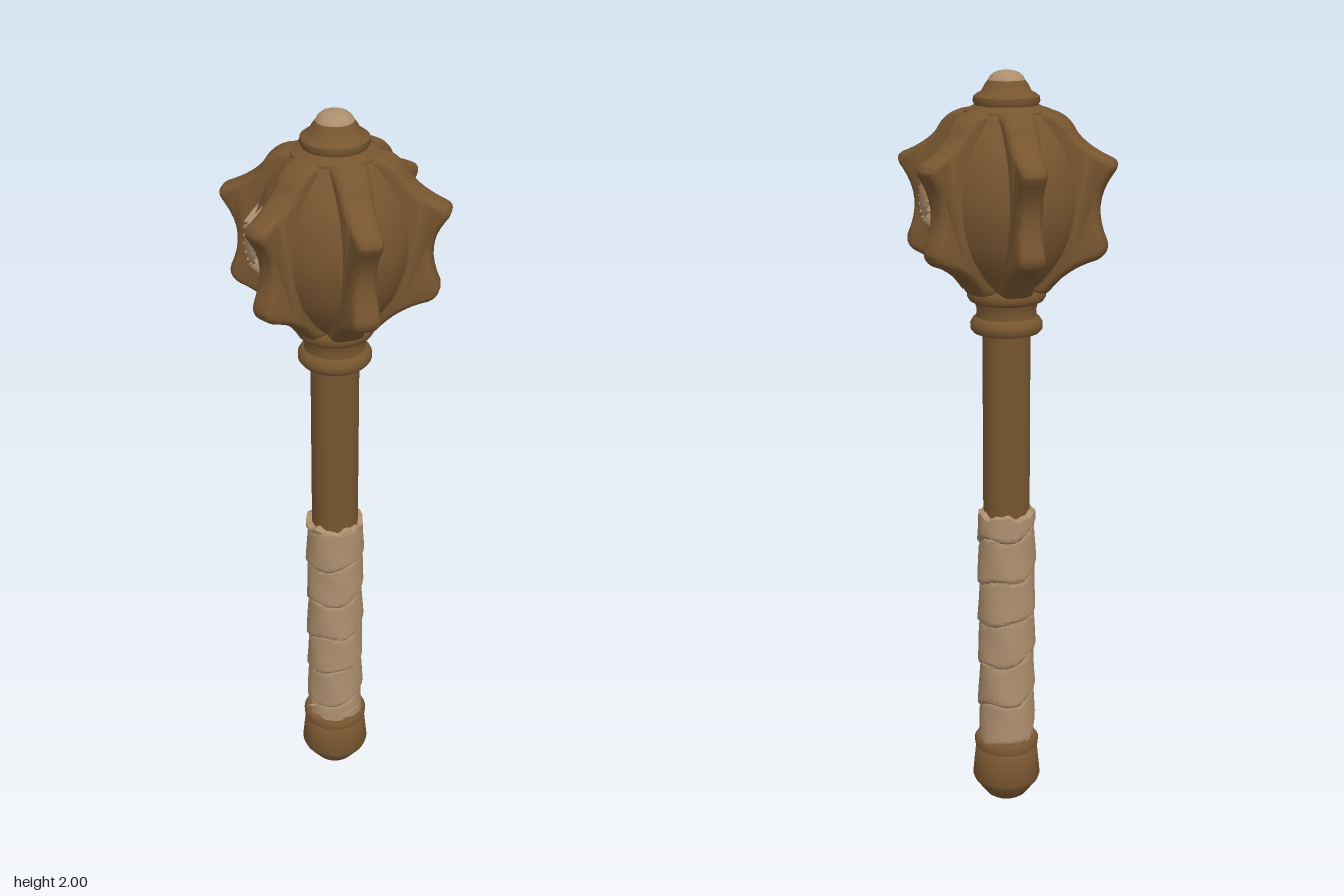
import * as THREE from 'three';
import { toCreasedNormals } from 'three/addons/utils/BufferGeometryUtils.js';

const brown = new THREE.MeshStandardMaterial({ name: 'brown wood', color: 0x775530 });
const tan = new THREE.MeshStandardMaterial({ name: 'tan leather', color: 0xac8e6d });

const vec = (list) => list.map(([r, y]) => new THREE.Vector2(r, y));

function add(parent, name, geometry, material) {
  const mesh = new THREE.Mesh(geometry, material);
  mesh.name = name;
  parent.add(mesh);
  return mesh;
}

// Turned part from [radius, height] pairs, bottom to top
function turned(list, smooth = false, segments = 48) {
  const points = smooth ? new THREE.SplineCurve(vec(list)).getPoints(28) : vec(list);
  return toCreasedNormals(new THREE.LatheGeometry(points, segments), 0.7);
}

// Head flange: two-pointed blade, thicker toward the core and pinched at the waist
function flangeGeometry() {
  const shape = new THREE.Shape();
  shape.moveTo(0.05, 1.455);
  shape.lineTo(0.11, 1.455);
  shape.quadraticCurveTo(0.16, 1.52, 0.235, 1.545);
  shape.quadraticCurveTo(0.265, 1.56, 0.257, 1.59);
  shape.quadraticCurveTo(0.215, 1.68, 0.268, 1.755);
  shape.quadraticCurveTo(0.292, 1.785, 0.265, 1.797);
  shape.quadraticCurveTo(0.205, 1.82, 0.175, 1.855);
  shape.quadraticCurveTo(0.155, 1.895, 0.115, 1.905);
  shape.lineTo(0.05, 1.915);
  const g = new THREE.ExtrudeGeometry(shape, {
    depth: 0.024, curveSegments: 8, bevelEnabled: true,
    bevelThickness: 0.02, bevelSize: 0.016, bevelOffset: -0.016, bevelSegments: 4,
  });
  g.translate(0, 0, -0.012);
  const p = g.attributes.position;
  for (let i = 0; i < p.count; i++) {
    const r = p.getX(i);
    const waist = Math.exp(-(((p.getY(i) - 1.68) / 0.06) ** 2));
    p.setZ(i, p.getZ(i) * (1 + (0.28 - r) * 2.2) * (r > 0.15 ? 1 - 0.25 * waist : 1));
  }
  return toCreasedNormals(g, 0.8);
}

// Grip: overlapping helical wraps with ragged ends
function gripGeometry() {
  const around = 64, rows = 150, y0 = 0.18, y1 = 0.855;
  const g = new THREE.CylinderGeometry(1, 1, 1, around, rows, true);
  const p = g.attributes.position, uv = g.attributes.uv;
  for (let i = 0; i < p.count; i++) {
    const t = uv.getY(i), a = uv.getX(i) * Math.PI * 2;
    const end = Math.min(t, 1 - t);
    const ragged = end < 0.02 ? 0.005 * Math.sin(5 * a) + 0.003 * Math.sin(11 * a) : 0;
    const y = y0 + (y1 - y0) * t + ragged;
    const sway = 0.07 * Math.sin(2 * a + 1) + 0.05 * Math.sin(3 * a + y * 14);
    const phase = y / 0.122 - a / (Math.PI * 2) + sway;
    const f = phase - Math.floor(phase);
    // Each band bulges, then dips sharply under the next one
    const groove = f < 0.1 ? f / 0.1 : 1;
    let r = 0.069 + groove * (0.011 - 0.006 * f) + 0.001 * Math.sin(4 * a + 30 * y);
    if (end < 0.001) r = 0.06;
    p.setXYZ(i, Math.sin(a) * r, y, Math.cos(a) * r);
  }
  g.computeVertexNormals();
  return toCreasedNormals(g, 0.9);
}

// Sunburst boss, built facing +z about its centre
function sunburst(name) {
  const group = new THREE.Group();
  group.name = name;
  const back = add(group, 'bossBacking',
    turned([[0.09, 0.165], [0.086, 0.178], [0.055, 0.196], [0, 0.2]], false, 32), brown);
  back.rotation.x = Math.PI / 2;
  const disc = add(group, 'bossDisc',
    turned([[0.05, 0.19], [0.051, 0.206], [0.044, 0.212], [0.025, 0.217], [0, 0.218]], false, 32), tan);
  disc.rotation.x = Math.PI / 2;
  const rayGeometry = toCreasedNormals(new THREE.ConeGeometry(0.013, 0.052, 4), 0.3);
  for (let i = 0; i < 16; i++) {
    const spoke = new THREE.Group();
    spoke.name = 'raySpoke';
    spoke.rotation.z = (i / 16) * Math.PI * 2;
    const ray = add(spoke, 'ray', rayGeometry, tan);
    ray.position.set(0, 0.07, 0.19);
    ray.rotation.x = -0.55;
    group.add(spoke);
  }
  return group;
}

export function createModel() {
  const model = new THREE.Group();
  model.name = 'mace';

  // Handle
  add(model, 'pommel', turned([
    [0, 0], [0.05, 0], [0.058, 0.006], [0.09, 0.05], [0.094, 0.062], [0.086, 0.145], [0.081, 0.15],
    [0.081, 0.154], [0.088, 0.158], [0.089, 0.172], [0.084, 0.18], [0.06, 0.184]]), brown);
  add(model, 'shaft', new THREE.CylinderGeometry(0.062, 0.062, 1.2, 32).translate(0, 0.77, 0), brown);
  const grip = add(model, 'gripWrap', gripGeometry(), tan);
  grip.castShadow = true;

  // Loose ends of the wrap
  [[-0.074, 0.222, 0.03, 1.35], [0.03, 0.215, 0.075, -0.9], [0.055, 0.79, -0.055, -1.2]].forEach(([x, y, z, tilt]) => {
    const end = add(model, 'looseWrapEnd', new THREE.ConeGeometry(0.01, 0.045, 4), tan);
    end.position.set(x, y, z);
    end.rotation.z = tilt;
  });

  // Collar below the head
  add(model, 'collar', turned([
    [0.06, 1.345], [0.086, 1.347], [0.093, 1.356], [0.093, 1.37], [0.086, 1.382], [0.078, 1.388],
    [0.076, 1.405], [0.082, 1.425], [0.095, 1.43], [0.101, 1.44], [0.1, 1.455], [0.09, 1.467], [0.07, 1.47]]), brown);

  // Head core and its six flanges
  add(model, 'headCore', turned([
    [0.085, 1.46], [0.125, 1.505], [0.168, 1.58], [0.19, 1.68], [0.177, 1.78], [0.143, 1.85], [0.1, 1.905]], true), brown);
  const flange = flangeGeometry();
  for (let i = 0; i < 6; i++) {
    add(model, 'flange', flange, brown).rotation.y = Math.PI / 6 + (i * Math.PI) / 3;
  }

  // Crown and finial
  add(model, 'crown', turned([
    [0.107, 1.89], [0.104, 1.905], [0.09, 1.912], [0.079, 1.917], [0.083, 1.925], [0.082, 1.937], [0.073, 1.944],
    [0.062, 1.95], [0.054, 1.965], [0.045, 1.977]]), brown);
  add(model, 'finialTip', turned([
    [0.046, 1.976], [0.041, 1.985], [0.032, 1.993], [0.018, 1.998], [0, 2]], false, 32), tan);

  // Sunburst bosses on both sides
  [['leftBoss', 1], ['rightBoss', -1]].forEach(([name, side]) => {
    const boss = sunburst(name);
    boss.position.y = 1.695;
    boss.rotation.y = (side * Math.PI) / 2;
    model.add(boss);
  });

  return model;
}
